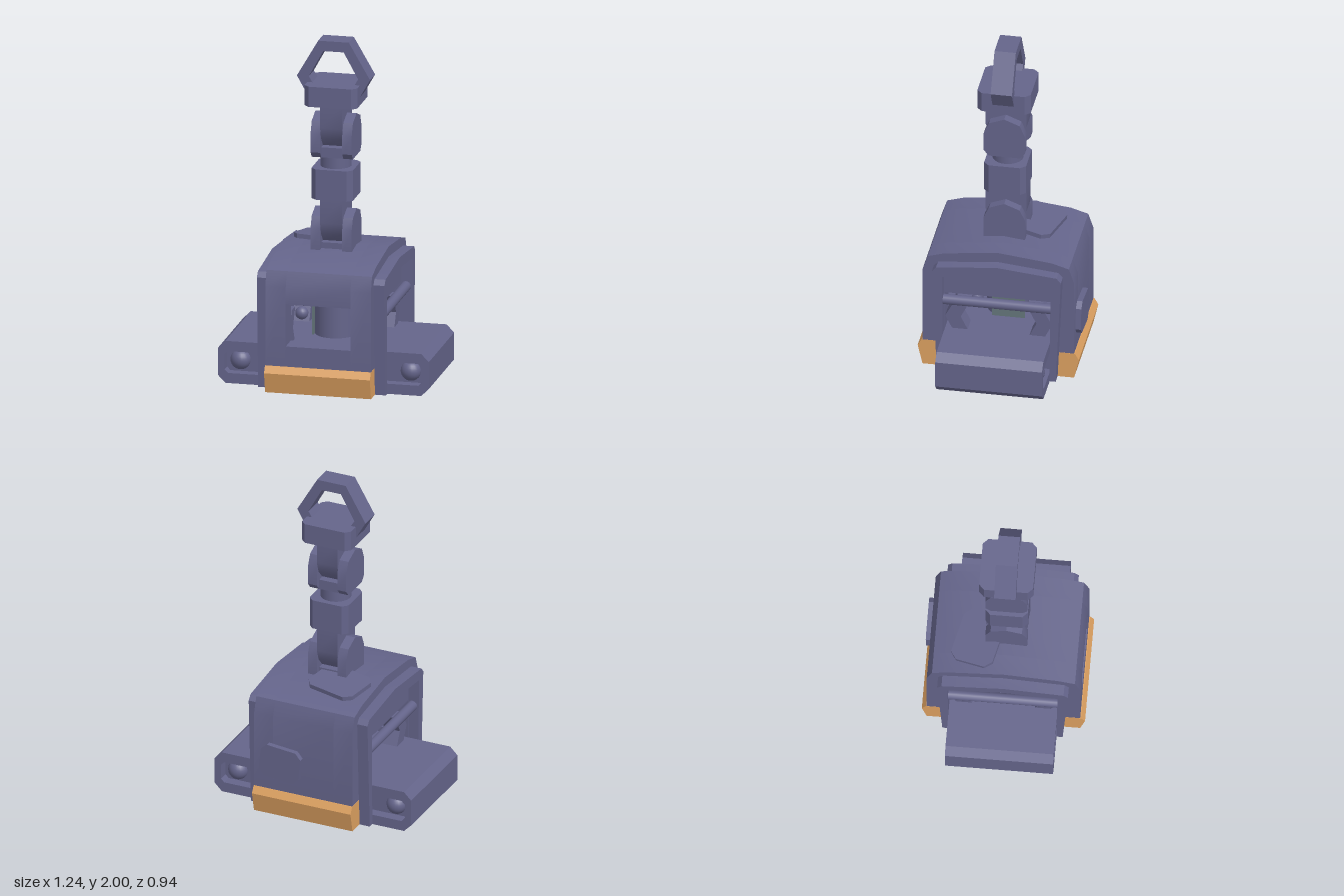
import * as THREE from 'three';
import { toCreasedNormals } from 'three/addons/utils/BufferGeometryUtils.js';

const material = (name, color) => {
  const m = new THREE.MeshStandardMaterial({ color });
  m.name = name;
  return m;
};

export function createModel() {
  const model = new THREE.Group();
  const violet = material('violet metal', 0x64648a);
  const orange = material('orange bumper', 0xdca060);
  const grey = material('grey green core', 0x64757a);
  const brown = material('brown underside', 0x8a6f66);

  const add = (name, geo, mat = violet, x = 0, y = 0, z = 0) => {
    const mesh = new THREE.Mesh(geo, mat);
    mesh.name = name;
    mesh.position.set(x, y, z);
    model.add(mesh);
    return mesh;
  };
  const box = (name, w, h, d, x, y, z, mat) => add(name, new THREE.BoxGeometry(w, h, d), mat, x, y, z);
  const vec = (pts) => pts.map(([a, b]) => new THREE.Vector2(a, b));
  // Centred extrusion along z of a polygon in x, y
  const prism = (pts, depth, holes = []) => {
    const shape = new THREE.Shape(vec(pts));
    holes.forEach((h) => shape.holes.push(new THREE.Path(vec(h))));
    const geo = new THREE.ExtrudeGeometry(shape, { depth, bevelEnabled: false });
    return toCreasedNormals(geo.translate(0, 0, -depth / 2), 0.7);
  };
  // Polygon in z, y extruded along x; polygon in x, z extruded along y
  const alongX = (pts, depth, holes) => prism(pts, depth, holes).rotateY(-Math.PI / 2);
  const alongY = (pts, depth) => prism(pts, depth).rotateX(-Math.PI / 2);
  const mirror = (pts) => [...pts, ...pts.filter(([a]) => a !== 0).reverse().map(([a, b]) => [-a, b])];
  const octagon = (w, h, c) => [[w, c - h], [w, h - c], [w - c, h], [c - w, h], [-w, h - c], [-w, c - h], [c - w, -h], [w - c, -h]];

  // Arched housing, open along x, with a window in the front wall
  const roof = [[0.44, 0.63], [0.41, 0.72], [0.31, 0.75], [0, 0.785]];
  const roofBack = roof.slice(0, 3).reverse().map(([a, b]) => [-a, b]);
  const foot = [[0.31, 0], [0.345, 0], [0.345, 0.16], [0.44, 0.16]];
  const backFoot = [[-0.44, 0.16], [-0.345, 0.16], [-0.345, 0], [-0.31, 0]];
  for (const s of [-1, 1]) {
    add('housingSide', alongX([...foot, ...roof, ...roofBack, ...backFoot, [-0.31, 0.49], [0.31, 0.49]], 0.12), violet, s * 0.25);
  }
  add('housingMiddle', alongX([[0.44, 0.53], ...roof, ...roofBack, ...backFoot, [-0.31, 0.53]], 0.38));
  add('windowSill', alongX([...foot, [0.44, 0.28], [0.31, 0.28]], 0.38));

  // Side rims, grab bars and angled brackets in the openings
  const rimOuter = mirror([[0.345, 0], [0.375, 0.66], [0.35, 0.69], [0, 0.725]]);
  const rimInner = mirror([[0.31, 0], [0.315, 0.63], [0, 0.66]]).reverse();
  for (const s of [-1, 1]) {
    add('sideRim', alongX([...rimOuter, ...rimInner], 0.065), violet, s * 0.3425);
    const bar = new THREE.CylinderGeometry(0.03, 0.03, 0.63, 16).rotateX(Math.PI / 2);
    add('grabBar', bar, violet, s * 0.335, 0.46);
    for (const k of [-1, 1]) {
      const chevron = [[0.18, 0.25], [0.27, 0.25], [0.31, 0.33], [0.25, 0.44], [0.165, 0.44], [0.22, 0.33]];
      const pts = k > 0 ? chevron : chevron.map(([a, b]) => [-a, b]);
      add('bracket', alongX(pts, 0.1), violet, s * 0.25);
    }
    add('innerBolt', new THREE.SphereGeometry(0.038, 16, 12), violet, s * 0.165, 0.4, 0.15);
    box('boltArm', 0.05, 0.04, 0.12, s * 0.165, 0.51, 0.16);
  }
  box('innerAccent', 0.36, 0.15, 0.03, 0, 0.42, -0.295, orange);

  // Central post with plated sides
  add('post', new THREE.CylinderGeometry(0.12, 0.12, 0.3, 32), violet, 0, 0.39, 0);
  for (const s of [-1, 1]) box('postPlate', 0.008, 0.29, 0.19, s * 0.119, 0.385, -0.025, grey);

  // Wide base with recessed bolts at all four ends
  const moved = octagon(0.62, 0.125, 0.045).map(([a, b]) => [a, b + 0.125]);
  const recess = (s) => [[0.34, 0.06], [0.56, 0.06], [0.58, 0.08], [0.58, 0.17], [0.56, 0.19], [0.34, 0.19]].map(([a, b]) => [a * s, b]);
  add('baseCore', prism(moved, 0.5));
  for (const k of [-1, 1]) {
    add('baseEnd', prism(moved, 0.06, [recess(1), recess(-1)]), violet, 0, 0, k * 0.28);
    for (const s of [-1, 1]) add('baseBolt', new THREE.SphereGeometry(0.06, 20, 14), violet, s * 0.5, 0.13, k * 0.245);
    // Orange bumpers
    const bumper = [[0.345, 0], [0.44, 0], [0.468, 0.12], [0.445, 0.16], [0.345, 0.16]].map(([a, b]) => [a * k, b]);
    add('bumper', alongX(bumper, 0.622), orange);
  }
  box('undersidePlate', 0.24, 0.004, 0.24, 0, 0.001, 0, brown);

  // Loose armour plates on the roof and the back
  const roofPlate = add('roofPlate', alongY(octagon(0.16, 0.125, 0.04), 0.03), violet, -0.1, 0.778, -0.16);
  roofPlate.rotation.set(-0.113, -0.24, 0);
  const backPlate = add('backPlate', prism(octagon(0.125, 0.1, 0.035), 0.04), violet, 0.135, 0.348, -0.452);
  backPlate.rotation.z = 0.1;

  // Jointed mast: forks, tongues and blocks
  const fork = (y0, y1, pts) => {
    for (const s of [-1, 1]) add('forkCheek', alongX(mirror(pts), 0.056), violet, s * 0.093);
    box('forkBase', 0.14, y1 - y0, 0.18, 0, (y0 + y1) / 2, 0);
  };
  fork(0.765, 0.81, [[0.12, 0.765], [0.12, 0.9], [0.09, 0.965], [0, 1.0]]);
  fork(1.315, 1.375, [[0.09, 1.315], [0.12, 1.35], [0.12, 1.46], [0.09, 1.53], [0, 1.565]]);
  const tongue = (y0, y1) => add('tongue', alongX(mirror([[0.05, y0], [0.095, y0 + 0.05], [0.12, y0 + 0.12], [0.12, y1]]), 0.13));
  tongue(0.812, 1.08);
  tongue(1.378, 1.64);
  add('mastBlock', alongY(octagon(0.122, 0.122, 0.03), 0.18), violet, 0, 1.16, 0);
  add('neck', new THREE.CylinderGeometry(0.09, 0.09, 0.08, 24), violet, 0, 1.28, 0);
  add('topBlock', alongY(octagon(0.155, 0.155, 0.03), 0.12), violet, 0, 1.69, 0);

  // Hexagonal lifting ring, sunk into the top block
  const outer = mirror([[0.15, 1.67], [0.215, 1.785], [0.09, 2.0]]);
  const inner = mirror([[0.095, 1.7], [0.145, 1.785], [0.06, 1.94]]);
  add('liftingRing', prism(outer, 0.124, [inner]));
  return model;
}
